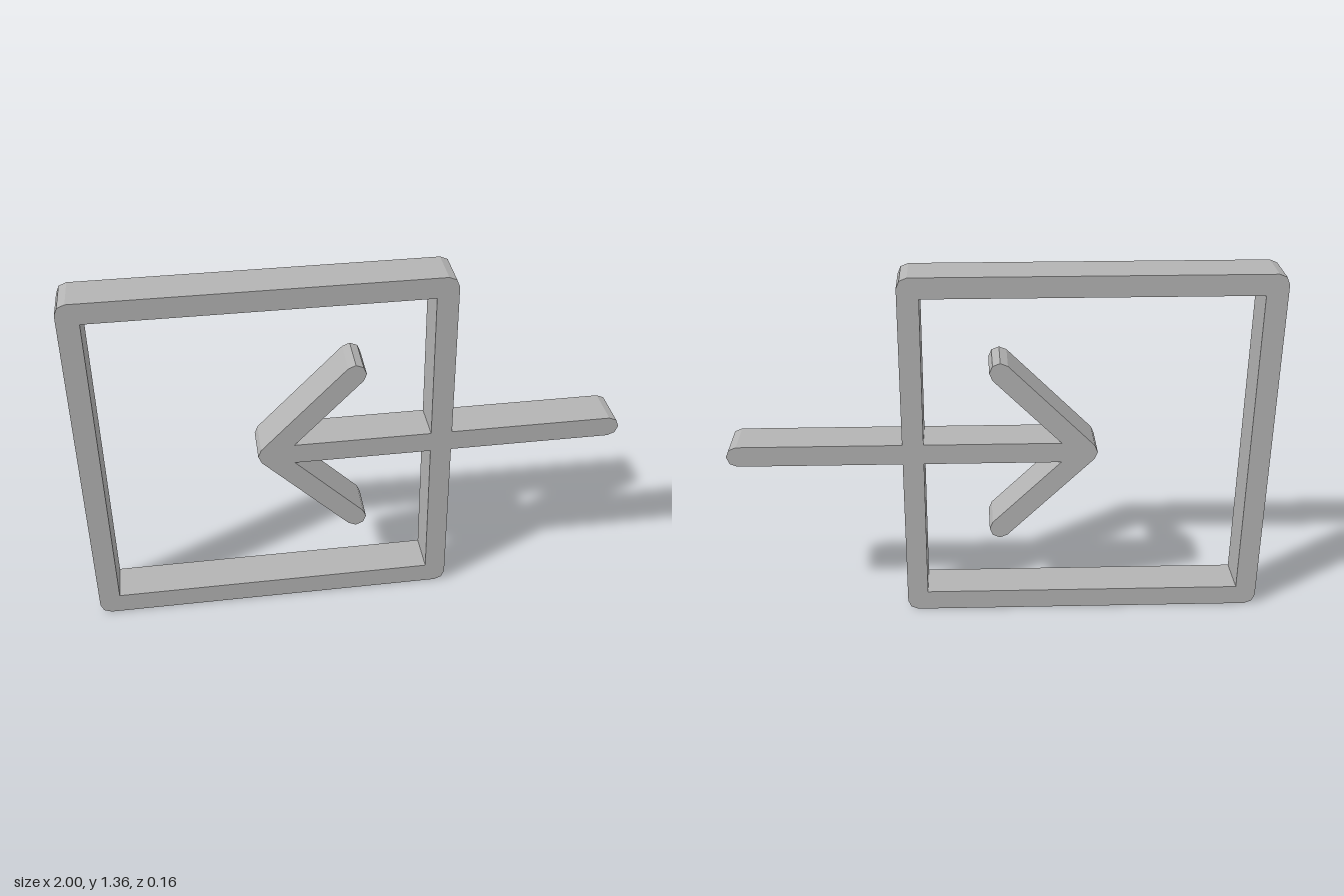
import * as THREE from 'three';

const R = 0.039;      // half the bar width, also the corner radius
const DEPTH = 0.157;
const MID = 0.68;     // height of the arrow's axis

// Points on a faceted arc, angles in degrees
function arc(cx, cy, from, to, steps) {
  return Array.from({ length: steps + 1 }, (_, i) => {
    const a = THREE.MathUtils.degToRad(from + (to - from) * i / steps);
    return new THREE.Vector2(cx + R * Math.cos(a), cy + R * Math.sin(a));
  });
}

const points = (...xy) => xy.map(([x, y]) => new THREE.Vector2(x, y));

function plate(name, shape, material) {
  const geometry = new THREE.ExtrudeGeometry(shape, { depth: DEPTH, bevelEnabled: false });
  geometry.translate(0, 0, -DEPTH / 2);
  const mesh = new THREE.Mesh(geometry, material);
  mesh.name = name;
  return mesh;
}

export function createModel() {
  const group = new THREE.Group();
  group.name = 'enterSign';
  const grey = new THREE.MeshStandardMaterial({ color: 0xb3b3b3 });
  grey.name = 'grey';

  // Square frame with small rounded outer corners
  const [left, right, bottom, top] = [-0.961, 0.319, 0.039, 1.321];
  const frame = new THREE.Shape([
    ...arc(right, bottom, -90, 0, 2),
    ...arc(right, top, 0, 90, 2),
    ...arc(left, top, 90, 180, 2),
    ...arc(left, bottom, 180, 270, 2),
  ]);
  frame.holes.push(new THREE.Path(points(
    [left + R, bottom + R], [left + R, top - R], [right - R, top - R], [right - R, bottom + R])));
  group.add(plate('frame', frame, grey));

  // Arrow head and inner shaft, ending at the frame's right bar
  const tipX = -0.32, reach = 0.32;
  const notchX = tipX + R * Math.SQRT2 + R;
  const arrow = new THREE.Shape([
    ...points([right - R, MID - R], [right - R, MID + R], [notchX, MID + R]),
    ...arc(tipX + reach, MID + reach, -45, 135, 4),
    ...arc(tipX, MID, 135, 225, 2),
    ...arc(tipX + reach, MID - reach, 225, 405, 4),
    ...points([notchX, MID - R]),
  ]);
  group.add(plate('arrowHead', arrow, grey));

  // Shaft outside the frame with a rounded end
  const tail = new THREE.Shape([
    ...points([right + R, MID + R], [right + R, MID - R]),
    ...arc(1 - R, MID, -90, 90, 4),
  ]);
  group.add(plate('arrowTail', tail, grey));

  return group;
}
